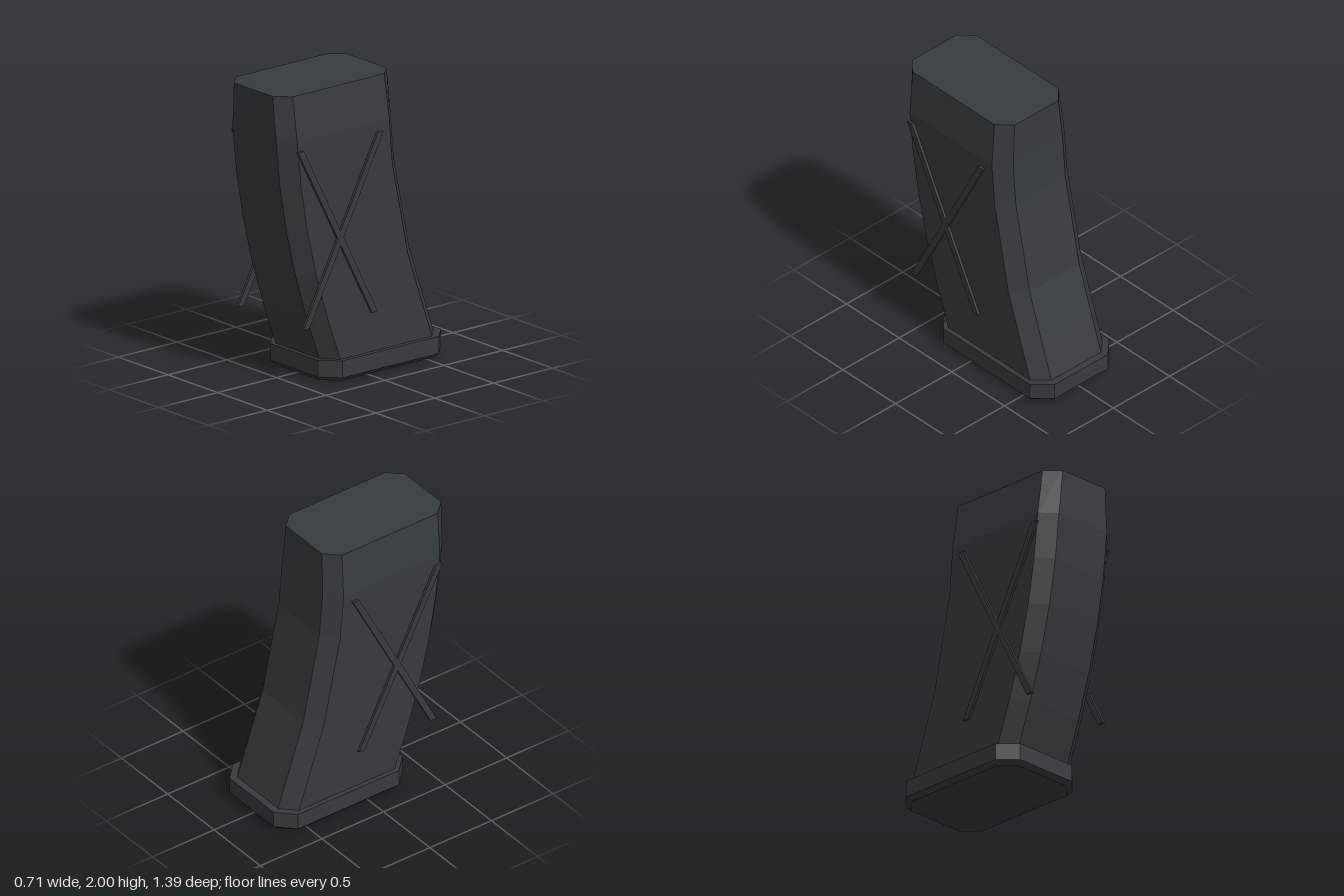
import * as THREE from 'three';

// Eight-sided chamfered section, counter-clockwise seen from above
function ring({ y, front, back, w, cx, cz }) {
  return [
    [w, y, front - cz], [w, y, back + cz], [w - cx, y, back], [cx - w, y, back],
    [-w, y, back + cz], [-w, y, front - cz], [cx - w, y, front], [w - cx, y, front],
  ];
}

// Skin a stack of sections (bottom to top) and cap both ends
function loft(sections) {
  const n = 8, index = [];
  const top = (sections.length - 1) * n;
  for (let s = 0; s < sections.length - 1; s++) {
    for (let i = 0; i < n; i++) {
      const a = s * n + i, b = s * n + (i + 1) % n;
      index.push(a, b, b + n, a, b + n, a + n);
    }
  }
  for (let i = 1; i < n - 1; i++) {
    index.push(0, i + 1, i, top, top + i, top + i + 1);
  }
  const geo = new THREE.BufferGeometry();
  geo.setAttribute('position', new THREE.Float32BufferAttribute(sections.flatMap(ring).flat(), 3));
  geo.setIndex(index);
  const flat = geo.toNonIndexed();
  flat.computeVertexNormals();
  return flat;
}

export function createModel() {
  const group = new THREE.Group();
  const polymer = new THREE.MeshStandardMaterial({ color: 0x363b40, flatShading: true });
  polymer.name = 'dark grey polymer';

  const add = (name, geometry) => {
    const mesh = new THREE.Mesh(geometry, polymer);
    mesh.name = name;
    group.add(mesh);
    return mesh;
  };

  // Curved body: height, front z, back z, half width
  const body = [
    [0.12, 0.313, -0.655, 0.32], [0.43, 0.425, -0.548, 0.32], [0.75, 0.525, -0.44, 0.32],
    [1.07, 0.602, -0.375, 0.32], [1.38, 0.655, -0.31, 0.32], [1.69, 0.688, -0.284, 0.32],
    [2, 0.697, -0.27, 0.285],
  ].map(([y, front, back, w]) => ({ y, front, back, w, cx: w < 0.3 ? 0.09 : 0.1, cz: 0.095 }));
  add('curvedBody', loft(body));

  // Floor plate with a bevelled underside
  const plate = (y, inset) => ({
    y, front: 0.35 - inset, back: -0.695 + inset, w: 0.353 - inset, cx: 0.115 - inset * 0.4, cz: 0.112 - inset * 0.4,
  });
  add('floorPlate', loft([plate(0, 0.03), plate(0.03, 0), plate(0.145, 0)]));

  // Raised crossed ribs, one outline per side (shape x = -z, shape y = y)
  const outline = [
    [-0.505, 0.415], [-0.238, 0.929], [0.028, 0.415], [0.077, 0.415], [-0.213, 0.977], [0.125, 1.63],
    [0.075, 1.63], [-0.238, 1.025], [-0.55, 1.63], [-0.6, 1.63], [-0.263, 0.977], [-0.555, 0.415],
  ];
  const shape = new THREE.Shape(outline.map(([u, v]) => new THREE.Vector2(u, v)));
  for (const [side, x] of [['left', 0.318], ['right', -0.338]]) {
    const geo = new THREE.ExtrudeGeometry(shape, { depth: 0.02, bevelEnabled: false });
    geo.rotateY(Math.PI / 2);
    add(side + 'CrossRibs', geo).position.x = x;
  }
  return group;
}
